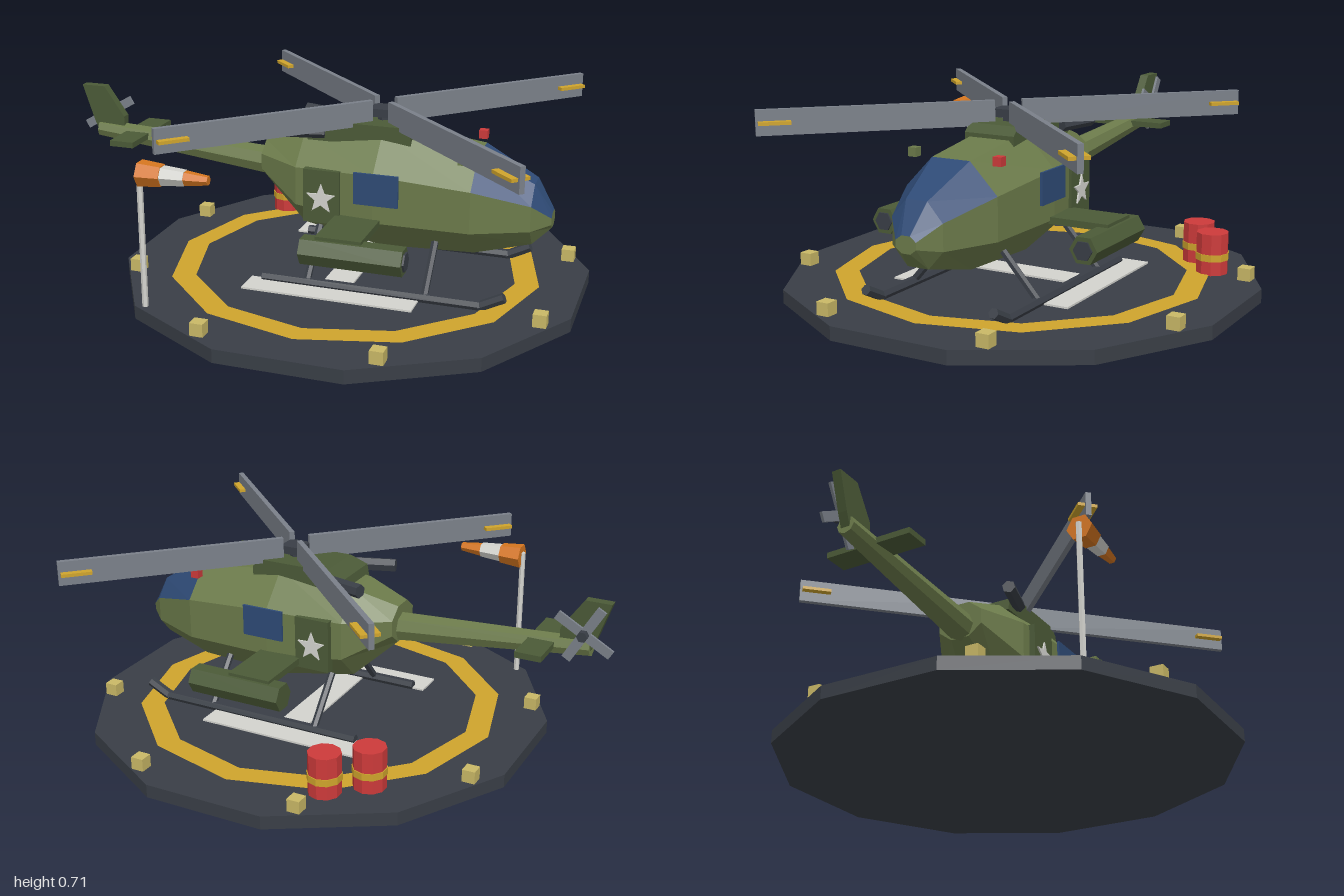
import * as THREE from 'three';

const mat = (name, color) => {
  const m = new THREE.MeshStandardMaterial({ color });
  m.name = name;
  return m;
};

export function createModel() {
  const green = mat('olive green', 0x6b7a4a), darkGreen = mat('dark green', 0x4b5a37);
  const glass = mat('glass blue', 0x2e4a75), dark = mat('dark grey', 0x393e46);
  const yellow = mat('yellow', 0xcfa42c), white = mat('off white', 0xd3d3ce);
  const red = mat('red', 0xcc3a3a), orange = mat('orange', 0xd6761f);
  const khaki = mat('khaki', 0xc9b866), grey = mat('blade grey', 0x7a8089);

  const root = new THREE.Group();
  root.name = 'helicopterOnPad';

  // Faceted mesh with hard edges
  const add = (name, geo, material, x = 0, y = 0, z = 0, parent = root) => {
    const g = geo.index ? geo.toNonIndexed() : geo;
    g.computeVertexNormals();
    const m = new THREE.Mesh(g, material);
    m.name = name;
    m.position.set(x, y, z);
    parent.add(m);
    return m;
  };
  const box = (name, material, w, h, d, x, y, z, parent) =>
    add(name, new THREE.BoxGeometry(w, h, d), material, x, y, z, parent);
  // Tapered rod between two points
  const rod = (name, material, from, to, r0, r1, sides = 6) => {
    const a = new THREE.Vector3(...from), b = new THREE.Vector3(...to);
    const dir = b.clone().sub(a);
    const m = add(name, new THREE.CylinderGeometry(r1, r0, dir.length(), sides), material);
    m.position.copy(a).add(b).multiplyScalar(0.5);
    m.quaternion.setFromUnitVectors(new THREE.Vector3(0, 1, 0), dir.normalize());
    return m;
  };
  // Flat profile in the xy plane, thickened around z = 0
  const plate = (points, depth) => {
    const s = new THREE.Shape(points.map(p => new THREE.Vector2(...p)));
    return new THREE.ExtrudeGeometry(s, { depth, bevelEnabled: false }).translate(0, 0, -depth / 2);
  };

  // Landing pad
  const padX = 0.15;
  add('pad', new THREE.CylinderGeometry(0.88, 0.88, 0.05, 12).rotateY(Math.PI / 12), dark, padX, 0.025, 0);
  add('padRing', new THREE.RingGeometry(0.61, 0.7, 12).rotateX(-Math.PI / 2), yellow, padX, 0.054, 0);
  for (const s of [-1, 1]) box('padMarkBar', white, 0.64, 0.008, 0.11, 0.145, 0.053, s * 0.305);
  box('padMarkCross', white, 0.11, 0.008, 0.5, 0.145, 0.053, 0);
  for (let i = 0; i < 8; i++) {
    const a = Math.PI / 8 + i * Math.PI / 4;
    box('padLight', khaki, 0.048, 0.048, 0.048, padX + 0.82 * Math.cos(a), 0.073, 0.82 * Math.sin(a));
  }

  // Fuel drums
  for (const [x, z] of [[-0.193, -0.612], [-0.313, -0.508]]) {
    add('drum', new THREE.CylinderGeometry(0.06, 0.06, 0.155, 10), red, x, 0.1275, z);
    add('drumBand', new THREE.CylinderGeometry(0.063, 0.063, 0.026, 10), yellow, x, 0.116, z);
  }

  // Windsock
  rod('windsockPole', white, [-0.435, 0.05, 0.612], [-0.435, 0.56, 0.612], 0.011, 0.011);
  [[orange, 0.048, 0.04], [white, 0.036, 0.029], [orange, 0.027, 0.017]].forEach(([m, r0, r1], i) => {
    const x = -0.432 + i * 0.085;
    rod('windsockBand', m, [x, 0.545, 0.612], [x + 0.085, 0.545, 0.612], r0, r1);
  });

  // Fuselage: octagonal sections [x, centre y, half width, half height]
  const sections = [
    [-0.195, 0.453, 0.09, 0.07], [-0.03, 0.402, 0.175, 0.172], [0.27, 0.39, 0.2, 0.214],
    [0.62, 0.374, 0.182, 0.186], [0.82, 0.347, 0.1, 0.113], [0.885, 0.326, 0.04, 0.03],
  ];
  const corner = (i, k) => {
    const [x, cy, w, h] = sections[i];
    const a = Math.PI / 8 + k * Math.PI / 4, c = Math.cos(Math.PI / 8);
    return [x, cy + h * Math.sin(a) / c, w * Math.cos(a) / c];
  };
  const skin = { body: [], glass: [] };
  const last = sections.length - 1;
  for (let k = 0; k < 8; k++) {
    for (let i = 0; i < last; i++) {
      const a = corner(i, k), b = corner(i, k + 1), c = corner(i + 1, k), d = corner(i + 1, k + 1);
      skin[i >= 3 && k < 3 ? 'glass' : 'body'].push(...a, ...c, ...b, ...b, ...c, ...d);
    }
    if (k > 0 && k < 7) {
      skin.body.push(...corner(0, 0), ...corner(0, k), ...corner(0, k + 1));
      skin.body.push(...corner(last, 0), ...corner(last, k + 1), ...corner(last, k));
    }
  }
  const skinGeo = list => new THREE.BufferGeometry()
    .setAttribute('position', new THREE.Float32BufferAttribute(list, 3));
  add('fuselage', skinGeo(skin.body), green);
  add('windshield', skinGeo(skin.glass), glass);

  // Engine housing
  add('engineHousing', plate([[-0.01, 0.56], [0.38, 0.56], [0.38, 0.605], [0.35, 0.635],
    [0.07, 0.635], [0, 0.61]], 0.2), darkGreen);

  // Tail
  rod('tailBoom', green, [-0.18, 0.43, 0], [-0.91, 0.492, 0], 0.056, 0.034, 8);
  add('tailFin', plate([[-0.91, 0.48], [-0.8, 0.49], [-0.8, 0.55], [-0.88, 0.665],
    [-0.975, 0.665], [-0.93, 0.53]], 0.035), darkGreen);
  box('tailplane', darkGreen, 0.096, 0.022, 0.335, -0.738, 0.486, 0);
  const tailRotor = new THREE.Group();
  tailRotor.name = 'tailRotor';
  tailRotor.position.set(-0.89, 0.547, -0.035);
  tailRotor.rotation.z = Math.PI / 6;
  root.add(tailRotor);
  box('tailBlade', grey, 0.23, 0.035, 0.01, 0, 0, 0, tailRotor);
  box('tailBlade', grey, 0.035, 0.23, 0.01, 0, 0, 0, tailRotor);
  add('tailHub', new THREE.CylinderGeometry(0.02, 0.02, 0.045, 6).rotateX(Math.PI / 2), dark, 0, 0, -0.005, tailRotor);

  // Main rotor
  const rotor = new THREE.Group();
  rotor.name = 'mainRotor';
  rotor.position.set(0.25, 0.666, 0);
  root.add(rotor);
  add('mast', new THREE.CylinderGeometry(0.022, 0.022, 0.08, 6), dark, 0, -0.03, 0, rotor);
  box('rotorHub', dark, 0.085, 0.03, 0.085, 0, 0, 0, rotor);
  for (let i = 0; i < 4; i++) {
    const arm = new THREE.Group();
    arm.name = 'bladeArm';
    arm.rotation.y = Math.PI / 4 + i * Math.PI / 2;
    rotor.add(arm);
    box('blade', grey, 0.83, 0.09, 0.02, 0.465, 0, 0, arm);
    box('bladeTip', yellow, 0.11, 0.012, 0.07, 0.817, 0, 0, arm);
  }

  // Five-pointed star outline
  const star = [];
  for (let i = 0; i < 10; i++) {
    const r = i % 2 ? 0.024 : 0.057, a = Math.PI / 2 + i * Math.PI / 5;
    star.push([r * Math.cos(a), r * Math.sin(a)]);
  }

  // Parts on both sides
  for (const s of [-1, 1]) {
    box('door', darkGreen, 0.137, 0.2, 0.035, 0.078, 0.38, s * 0.184);
    add('doorStar', plate(star, 0.008), white, 0.078, 0.373, s * 0.204);
    box('sideWindow', glass, 0.165, 0.118, 0.009, 0.283, 0.428, s * 0.201);
    box('stubWing', darkGreen, 0.168, 0.025, 0.25, 0.215, 0.303, s * 0.3);
    rod('pod', darkGreen, [0.08, 0.258, s * 0.41], [0.45, 0.258, s * 0.41], 0.053, 0.053);
    rod('podNose', dark, [0.44, 0.258, s * 0.41], [0.457, 0.258, s * 0.41], 0.036, 0.036);
    rod('exhaust', dark, [0.06, 0.6, s * 0.108], [-0.095, 0.603, s * 0.15], 0.026, 0.026);
    rod('skid', dark, [-0.13, 0.064, s * 0.255], [0.69, 0.064, s * 0.255], 0.019, 0.019);
    rod('skidTip', dark, [0.68, 0.06, s * 0.255], [0.77, 0.106, s * 0.255], 0.019, 0.019);
    for (const x of [0.043, 0.484])
      rod('skidStrut', dark, [x, 0.235, s * 0.11], [x, 0.07, s * 0.255], 0.014, 0.014);
    box('navLight', s < 0 ? red : green, 0.032, 0.032, 0.032, 0.588, 0.564, s * 0.17);
  }
  return root;
}
